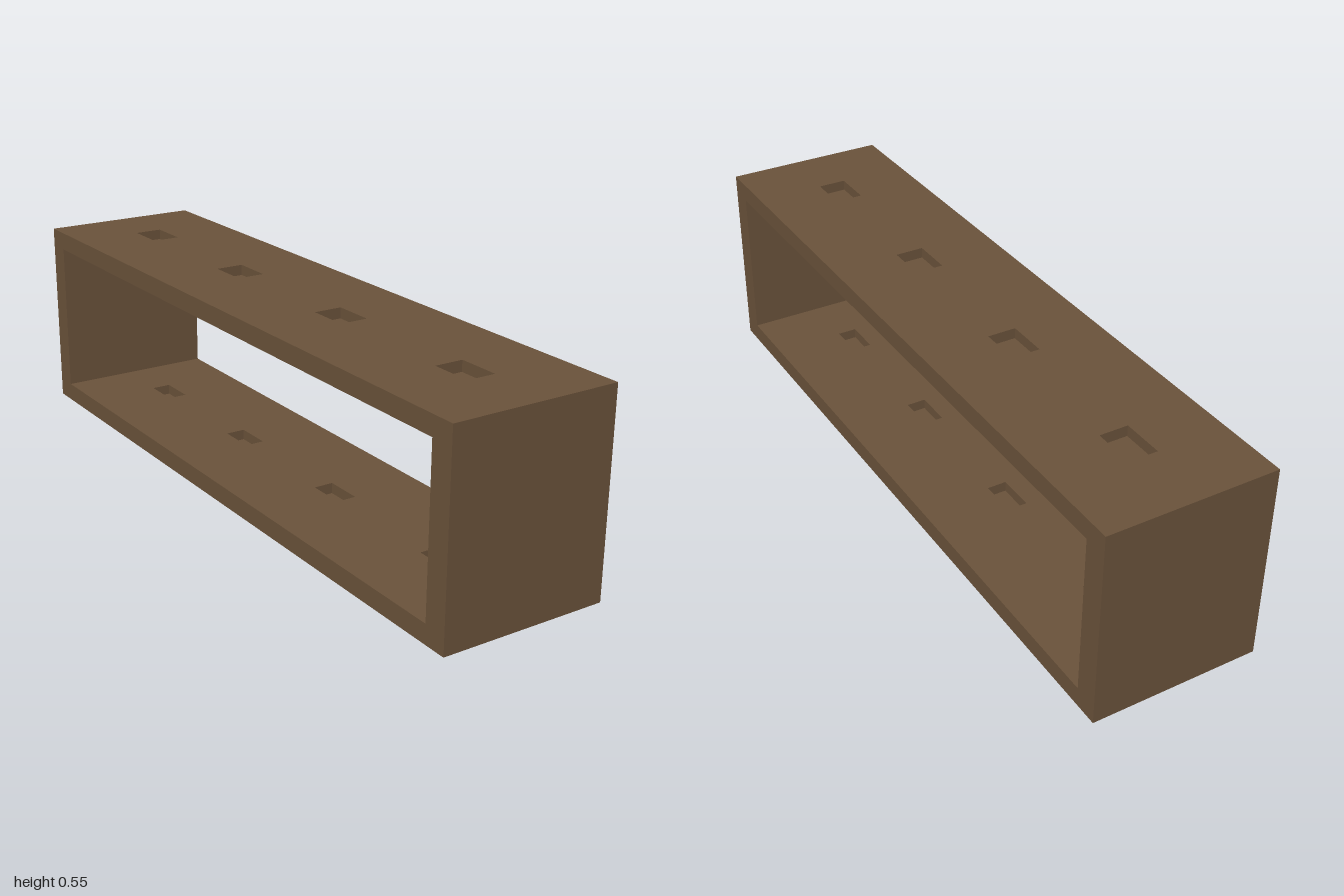
import * as THREE from 'three';

const WIDTH = 0.47, HEIGHT = 0.553, LENGTH = 2;
const BOARD = 0.053, END = 0.067, POCKET_DEPTH = 0.03;

const wood = new THREE.MeshStandardMaterial({ color: 0x6b533b });
wood.name = 'brown wood';

function mesh(name, geometry, x, y, z) {
  const m = new THREE.Mesh(geometry, wood);
  m.name = name;
  m.position.set(x, y, z);
  return m;
}

function rectangle(path, w, l, cy) {
  path.moveTo(-w / 2, cy - l / 2);
  path.lineTo(w / 2, cy - l / 2);
  path.lineTo(w / 2, cy + l / 2);
  path.lineTo(-w / 2, cy + l / 2);
  path.closePath();
  return path;
}

// Horizontal board with four evenly spaced blind pockets in its upper face
function pocketBoard(name, length, pocketW, pocketL, y) {
  const board = new THREE.Group();
  board.name = name;
  const solid = BOARD - POCKET_DEPTH;
  board.add(mesh(name + 'Base', new THREE.BoxGeometry(WIDTH, solid, length), 0, y + solid / 2, 0));

  const shape = rectangle(new THREE.Shape(), WIDTH, length, 0);
  for (let i = 0; i < 4; i++) {
    shape.holes.push(rectangle(new THREE.Path(), pocketW, pocketL, length * (i - 1.5) / 4));
  }
  const layer = new THREE.ExtrudeGeometry(shape, { depth: POCKET_DEPTH, bevelEnabled: false });
  layer.rotateX(-Math.PI / 2);
  board.add(mesh(name + 'Pockets', layer, 0, y + solid, 0));
  return board;
}

export function createModel() {
  const model = new THREE.Group();
  model.name = 'openFrame';

  // Top runs the full length, bottom sits between the ends
  model.add(pocketBoard('topBoard', LENGTH, 0.08, 0.117, HEIGHT - BOARD));
  model.add(pocketBoard('bottomBoard', LENGTH - 2 * END, 0.056, 0.109, 0));

  // End panels
  const endHeight = HEIGHT - BOARD;
  for (const [name, side] of [['frontPanel', 1], ['backPanel', -1]]) {
    model.add(mesh(name, new THREE.BoxGeometry(WIDTH, endHeight, END),
      0, endHeight / 2, side * (LENGTH - END) / 2));
  }
  return model;
}
